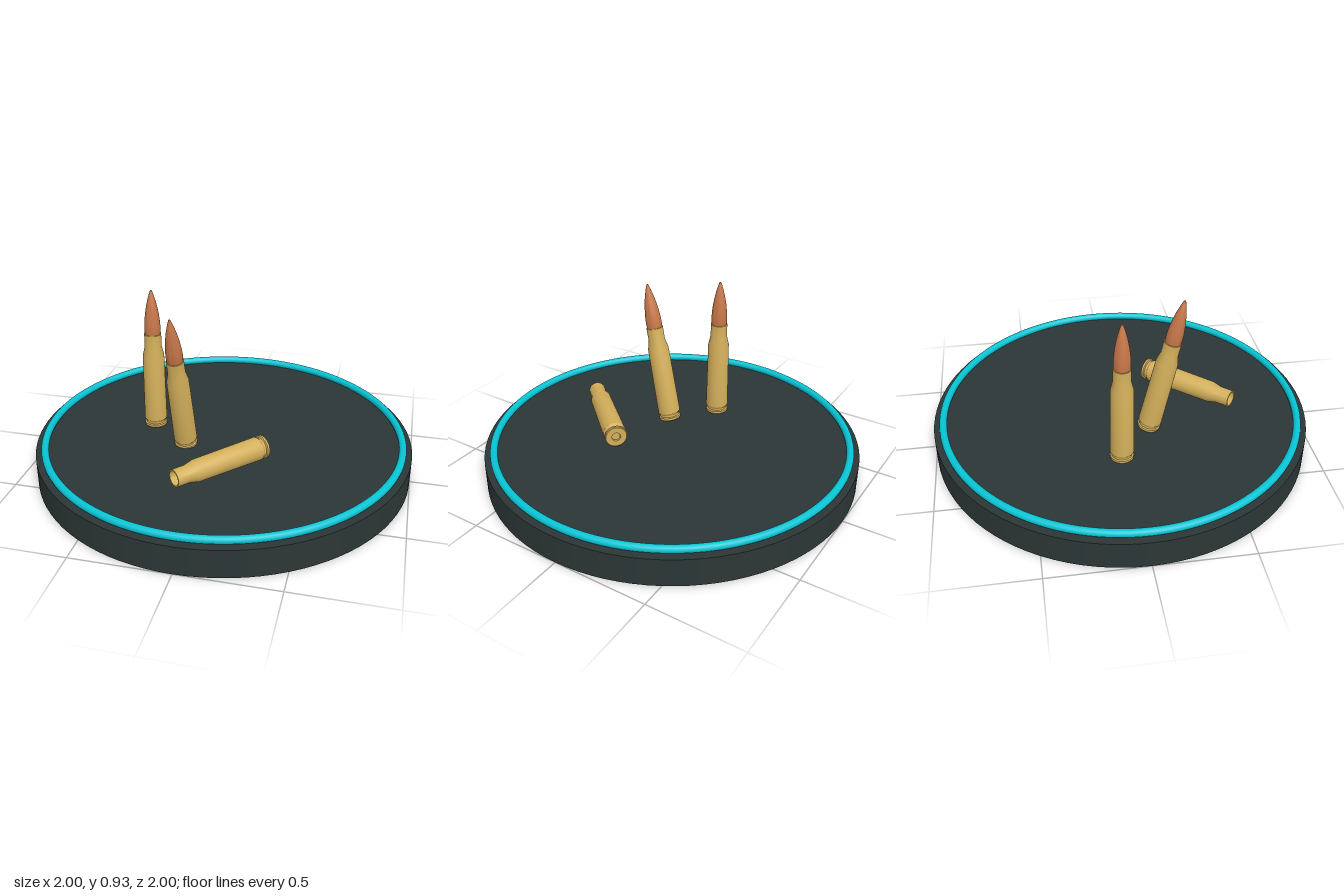
import * as THREE from 'three';
import { toCreasedNormals } from 'three/addons/utils/BufferGeometryUtils.js';

function material(name, color) {
  const m = new THREE.MeshStandardMaterial({ color });
  m.name = name;
  return m;
}

function lathe(points, segments = 32) {
  const geometry = new THREE.LatheGeometry(points.map(([r, y]) => new THREE.Vector2(r, y)), segments);
  return toCreasedNormals(geometry, 0.5);
}

export function createModel() {
  const slate = material('dark slate', 0x2c3636);
  const cyan = material('cyan', 0x08c4d4);
  const brass = material('brass', 0xd2ae5a);
  const copper = material('copper', 0xc8784a);

  const model = new THREE.Group();
  model.name = 'cartridgeDisplay';

  function add(parent, name, geometry, mat) {
    const mesh = new THREE.Mesh(geometry, mat);
    mesh.name = name;
    parent.add(mesh);
    return mesh;
  }

  // Round plinth with a glowing-coloured rim
  const plinth = add(model, 'plinth', new THREE.CylinderGeometry(1, 1, 0.15, 96), slate);
  plinth.position.y = 0.075;
  const ring = add(model, 'rimRing', new THREE.TorusGeometry(0.95, 0.02, 16, 128), cyan);
  ring.rotation.x = Math.PI / 2;
  ring.position.y = 0.17;

  // Hollow case: recessed head, extraction groove, body, shoulder, neck, bore
  const caseGeometry = lathe([
    [0, 0.008], [0.022, 0.008], [0.024, 0], [0.056, 0], [0.06, 0.004], [0.06, 0.016],
    [0.053, 0.02], [0.053, 0.03], [0.061, 0.042], [0.057, 0.415],
    [0.045, 0.465], [0.045, 0.538], [0.038, 0.538], [0.038, 0.46], [0.048, 0.41],
    [0.048, 0.06], [0, 0.06],
  ]);

  // Pointed projectile seated in the neck
  const bulletGeometry = lathe([
    [0, 0.5], [0.038, 0.5], [0.041, 0.539], [0.043, 0.565], [0.0415, 0.6], [0.036, 0.65],
    [0.027, 0.7], [0.014, 0.75], [0.005, 0.777], [0, 0.781],
  ]);

  function addCartridge(name, x, y, z, loaded) {
    const group = new THREE.Group();
    group.name = name;
    group.position.set(x, y, z);
    add(group, 'case', caseGeometry, brass);
    if (loaded) add(group, 'bullet', bulletGeometry, copper);
    model.add(group);
    return group;
  }

  addCartridge('standingCartridge', -0.4, 0.15, -0.05, true);

  const leaning = addCartridge('leaningCartridge', -0.177, 0.15, 0.125, true);
  leaning.rotation.set(0.208, 0, 0.03);

  // Spent case lying on its side
  const spent = addCartridge('spentCase', 0.252, 0.222, 0.188, false);
  const direction = new THREE.Vector3(-0.352, 0.003, 0.392).normalize();
  spent.quaternion.setFromUnitVectors(new THREE.Vector3(0, 1, 0), direction);

  return model;
}
